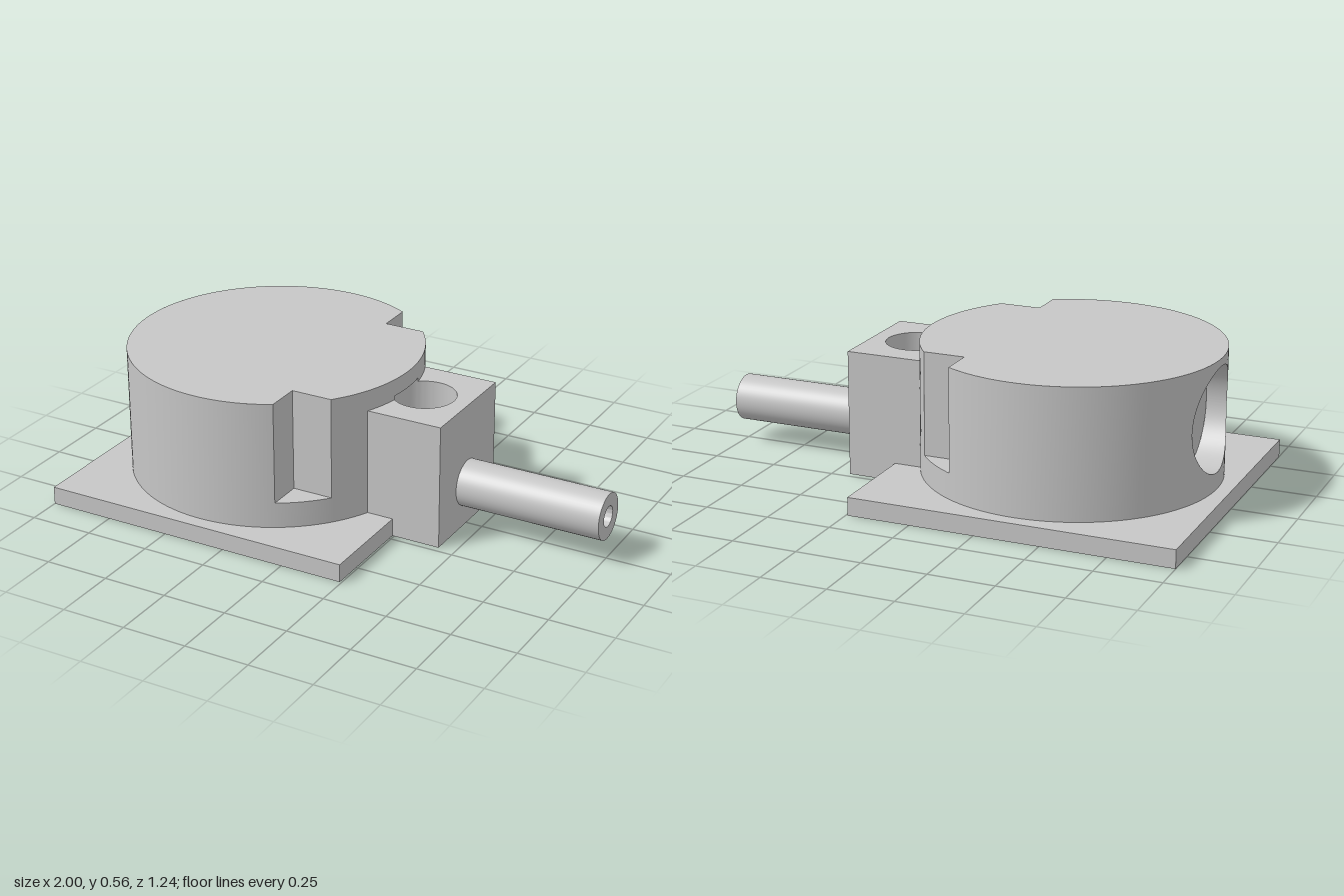
import * as THREE from 'three';
import { mergeGeometries, toCreasedNormals } from 'three/addons/utils/BufferGeometryUtils.js';

const CX = -0.38, R = 0.565;             // drum axis and radius
const Y0 = 0.07, Y1 = 0.565;             // drum bottom and top
const NX = -0.1, NZ = 0.355, NY = 0.17;  // corner notch planes and floor
const PR = 0.2, PY = 0.335, PX = -0.83;  // side pocket radius, height, floor
const BX = 0.253, BR = 0.12, BY = 0.1, BTOP = 0.5; // vertical bore
const BLOCK_TOP = 0.485, BLOCK_X = 0.434;

// Surface from a rule f(u, v) -> [x, y, z], faces pointing along dv x du
function grid(n, f) {
  const pos = [], idx = [];
  for (let i = 0; i <= n; i++) {
    const u = (1 - Math.cos(Math.PI * i / n)) / 2;
    pos.push(...f(u, 0), ...f(u, 1));
    if (i < n) {
      const a = 2 * i;
      idx.push(a, a + 1, a + 2, a + 2, a + 1, a + 3);
    }
  }
  const g = new THREE.BufferGeometry();
  g.setAttribute('position', new THREE.Float32BufferAttribute(pos, 3));
  g.setIndex(idx);
  return toCreasedNormals(g, 0.6);
}

// Strip of drum wall between two angles and two height rules
function wall(a0, a1, n, lo, hi) {
  return grid(n, (u, v) => {
    const a = a0 + (a1 - a0) * u, z = R * Math.sin(a);
    return [CX + R * Math.cos(a), v ? hi(z) : lo(z), z];
  });
}

// Flat horizontal shape drawn in x, z
function flat(shape, y) {
  return new THREE.ShapeGeometry(shape, 64).rotateX(Math.PI / 2).translate(0, y, 0);
}

export function createModel() {
  const model = new THREE.Group();
  const grey = new THREE.MeshStandardMaterial({ color: 0xc6c6c6, side: THREE.DoubleSide });
  grey.name = 'light grey';
  const add = (name, geometry) => {
    const m = new THREE.Mesh(geometry, grey);
    m.name = name;
    model.add(m);
    return m;
  };

  // Base plate
  add('basePlate', new THREE.BoxGeometry(1.243, Y0, 1.24)).position.set(-0.3785, Y0 / 2, 0);

  // Drum wall, with gaps for the notches, the pocket and the bore
  const meetX = (BR * BR - R * R + CX * CX - BX * BX) / (2 * (CX - BX));
  const meetZ = Math.sqrt(BR * BR - (meetX - BX) ** 2);
  const aBore = Math.asin(meetZ / R), aPocket = Math.asin(PR / R);
  const aN0 = Math.asin(NZ / R), aN1 = Math.acos((NX - CX) / R);
  const k = (y) => () => y;
  const half = (z) => Math.sqrt(Math.max(0, PR * PR - z * z));
  const strips = [
    wall(-aBore, aBore, 12, k(BTOP), k(Y1)),
    wall(Math.PI - aPocket, Math.PI + aPocket, 40, k(Y0), (z) => PY - half(z)),
    wall(Math.PI - aPocket, Math.PI + aPocket, 40, (z) => PY + half(z), k(Y1)),
  ];
  for (const s of [-1, 1]) {
    const side = (p, q, n, top) =>
      strips.push(s > 0 ? wall(p, q, n, k(Y0), k(top)) : wall(-q, -p, n, k(Y0), k(top)));
    side(aBore, aN0, 16, Y1);
    side(aN0, aN1, 12, NY);
    side(aN1, Math.PI - aPocket, 40, Y1);
  }
  add('drumWall', mergeGeometries(strips));

  // Drum top with two corner notches
  const edgeX = CX + R * Math.cos(aN0), edgeZ = R * Math.sin(aN1);
  const top = new THREE.Shape();
  top.moveTo(edgeX, -NZ);
  top.absarc(CX, 0, R, -aN0, aN0, false);
  top.lineTo(NX, NZ);
  top.lineTo(NX, edgeZ);
  top.absarc(CX, 0, R, aN1, 2 * Math.PI - aN1, false);
  top.lineTo(NX, -NZ);
  top.closePath();
  add('drumTop', flat(top, Y1));

  // Notch floors and walls
  for (const s of [-1, 1]) {
    const floor = new THREE.Shape();
    floor.moveTo(NX, s * NZ);
    floor.lineTo(edgeX, s * NZ);
    floor.absarc(CX, 0, R, s * aN0, s * aN1, s < 0);
    floor.closePath();
    add('notchFloor', flat(floor, NY));
    const h = Y1 - NY;
    add('notchSideWall', new THREE.PlaneGeometry(edgeX - NX, h))
      .position.set((edgeX + NX) / 2, NY + h / 2, s * NZ);
    add('notchEndWall', new THREE.PlaneGeometry(edgeZ - NZ, h).rotateY(Math.PI / 2))
      .position.set(NX, NY + h / 2, s * (edgeZ + NZ) / 2);
  }

  // Round side pocket with a small drilled hole in its floor
  add('pocketWall', grid(64, (u, v) => {
    const t = 2 * Math.PI * u, z = PR * Math.cos(t);
    return [v ? PX : CX - Math.sqrt(R * R - z * z), PY + PR * Math.sin(t), z];
  }));
  const lathe = (pts, n) => toCreasedNormals(
    new THREE.LatheGeometry(pts.map(([r, x]) => new THREE.Vector2(r, x)), n).rotateZ(-Math.PI / 2));
  add('pocketFloor', lathe([[0, -0.7], [0.025, -0.7], [0.025, PX], [PR, PX]], 48)).position.y = PY;

  // Connector block with a vertical bore
  const outline = () => {
    const s = new THREE.Shape();
    s.moveTo(0.1, -0.225);
    s.lineTo(BLOCK_X, -0.225);
    s.lineTo(BLOCK_X, 0.225);
    s.lineTo(0.1, 0.225);
    s.closePath();
    return s;
  };
  const bored = outline();
  bored.holes.push(new THREE.Path().absarc(BX, 0, BR, 0, Math.PI * 2, true));
  const slab = (shape, y0, y1) => toCreasedNormals(
    new THREE.ExtrudeGeometry(shape, { depth: y1 - y0, bevelEnabled: false, curveSegments: 48 })
      .rotateX(-Math.PI / 2).translate(0, y0, 0));
  add('blockBottom', slab(outline(), 0, BY));
  add('blockBody', slab(bored, BY, BLOCK_TOP));

  // Bore relief cut into the drum just above the block
  const aCut = Math.acos((BX - meetX) / BR);
  add('boreRelief', new THREE.CylinderGeometry(BR, BR, BTOP - BLOCK_TOP, 16, 1, true,
    1.5 * Math.PI - aCut, 2 * aCut)).position.set(BX, (BTOP + BLOCK_TOP) / 2, 0);
  const lens = new THREE.Shape();
  lens.absarc(CX, 0, R, -aBore, aBore, false);
  lens.absarc(BX, 0, BR, Math.PI - aCut, Math.PI + aCut, false);
  add('boreReliefCeiling', flat(lens, BTOP));

  // Hollow tube
  add('tube', lathe([[0.09, 0.42], [0.09, 1], [0.04, 1], [0.04, BLOCK_X]], 48)).position.y = 0.17;

  return model;
}
